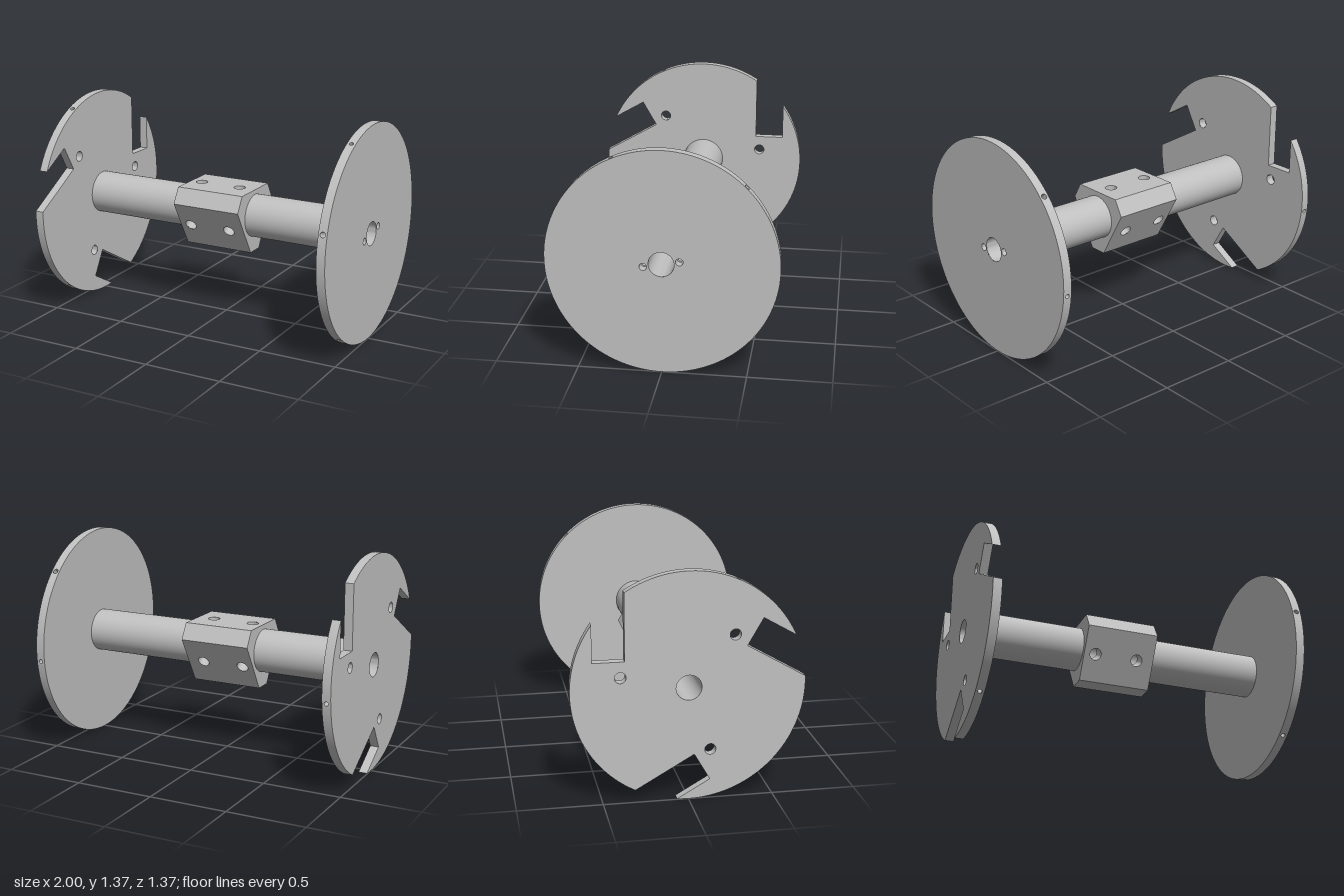
import * as THREE from 'three';
import { toCreasedNormals } from 'three/addons/utils/BufferGeometryUtils.js';

const R = 0.683, THICK = 0.055, BORE = 0.075, SHAFT = 0.137;
const CHORD = 1.7; // half angle in degrees of the flat around each rim hole
const rad = THREE.MathUtils.degToRad;
const steel = new THREE.MeshStandardMaterial({ color: 0xc0c0c0 });
steel.name = 'steel grey';

const polar = (r, deg) => new THREE.Vector2(r * Math.cos(rad(deg)), r * Math.sin(rad(deg)));

function add(parent, name, geometry) {
  const mesh = new THREE.Mesh(geometry, steel);
  mesh.name = name;
  parent.add(mesh);
  return mesh;
}

// Flat face with round holes, given as [x, y, radius]
function face(points, holes) {
  const shape = new THREE.Shape(points);
  for (const [x, y, r] of holes) {
    shape.holes.push(new THREE.Path().absarc(x, y, r, 0, Math.PI * 2, true));
  }
  return new THREE.ShapeGeometry(shape, 48);
}

// The two end faces of a prism that runs along z
function endFaces(parent, name, points, holes, z0, z1) {
  add(parent, name, face(points, holes).translate(0, 0, z1));
  const back = face(points, holes).translate(0, 0, z0);
  back.setIndex(Array.from(back.index.array).reverse());
  back.computeVertexNormals();
  add(parent, name, back);
}

// Side walls of a prism; segments listed in skip are left open
function walls(points, z0, z1, skip) {
  const pos = [];
  points.forEach((p, i) => {
    if (skip.has(i)) return;
    const q = points[(i + 1) % points.length];
    pos.push(p.x, p.y, z0, q.x, q.y, z0, q.x, q.y, z1);
    pos.push(p.x, p.y, z0, q.x, q.y, z1, p.x, p.y, z1);
  });
  const g = new THREE.BufferGeometry();
  g.setAttribute('position', new THREE.Float32BufferAttribute(pos, 3));
  return toCreasedNormals(g, 0.4);
}

function lathe(profile, segments = 48) {
  const g = new THREE.LatheGeometry(profile.map(([r, y]) => new THREE.Vector2(r, y)), segments);
  return toCreasedNormals(g, 0.5);
}

// Inner wall of a hole, profile of [radius, height] running downwards from the mouth
function drill(parent, name, profile, position, direction) {
  const mesh = add(parent, name, lathe(profile, 32));
  mesh.position.copy(position);
  mesh.quaternion.setFromUnitVectors(new THREE.Vector3(0, 1, 0), direction);
}

// Rectangular face looking outwards from the axis, with drilled holes [offset, radius]
function radialPanel(parent, name, deg, dist, z, length, width, holes, depth, floor) {
  const l = length / 2, w = width / 2;
  const rect = [[-l, -w], [l, -w], [l, w], [-l, w]].map(p => new THREE.Vector2(...p));
  const mesh = add(parent, name, face(rect, holes.map(([o, r]) => [o, 0, r])));
  const out = new THREE.Vector3(Math.cos(rad(deg)), Math.sin(rad(deg)), 0);
  const along = new THREE.Vector3(0, 0, 1);
  const m = new THREE.Matrix4().makeBasis(along, out.clone().cross(along), out);
  mesh.applyMatrix4(m.setPosition(out.x * dist, out.y * dist, z));
  for (const [o, r] of holes) {
    const profile = [[r, 0], [r, -depth]];
    if (floor) profile.push([0, -depth]);
    drill(parent, name + 'Hole', profile, out.clone().multiplyScalar(dist).setZ(z + o), out);
  }
}

// Round end plate with rim holes, optionally cut by three offset slots
function endPlate(name, z0, slotted, faceHoles) {
  const group = new THREE.Group();
  group.name = name;
  const pts = [], skip = new Set(), z1 = z0 + THICK;
  const arc = (a, b) => {
    const n = Math.ceil((b - a) / 2);
    for (let i = 0; i <= n; i++) pts.push(polar(R, a + (b - a) * i / n));
  };
  const rimHole = (deg, r) => {
    skip.add(pts.length - 1);
    radialPanel(group, 'rimFlat', deg, R * Math.cos(rad(CHORD)), (z0 + z1) / 2,
      THICK, 2 * R * Math.sin(rad(CHORD)), [[0, r]], 0.08, true);
  };
  const slotStart = THREE.MathUtils.radToDeg(Math.acos(0.555 / R));
  const slotEnd = THREE.MathUtils.radToDeg(Math.acos(0.37 / R));
  for (let k = 0; k < 3; k++) {
    const base = k * 120;
    if (slotted) {
      arc(base - 5.2 + CHORD, base + slotStart);
      for (const x of [0.555, 0.37]) {
        pts.push(new THREE.Vector2(x, 0.175).rotateAround(new THREE.Vector2(), rad(base)));
      }
      arc(base + slotEnd, base + 114.8 - CHORD);
    } else {
      arc(base - 5.2 + CHORD, base + 45 - CHORD);
      rimHole(base + 45, 0.016);
      arc(base + 45 + CHORD, base + 114.8 - CHORD);
    }
    rimHole(base + 114.8, 0.013);
  }
  add(group, 'plateRim', walls(pts, z0, z1, skip));
  endFaces(group, 'plateFace', pts, [[0, 0, BORE], ...faceHoles], z0, z1);
  return group;
}

export function createModel() {
  const model = new THREE.Group();
  model.name = 'spool';
  // Everything is built along z, then turned so the axis lies along x
  const axle = new THREE.Group();
  axle.name = 'axleAssembly';
  axle.rotation.y = Math.PI / 2;
  axle.position.y = R;
  model.add(axle);
  const zAxis = new THREE.Vector3(0, 0, 1);

  // Slotted plate with three bolt holes
  const bolts = [11.5, 131.5, 251.5].map(a => polar(0.403, a));
  const slotted = endPlate('slottedPlate', -1, true, bolts.map(p => [p.x, p.y, 0.033]));
  for (const p of bolts) {
    drill(slotted, 'boltHole', [[0.033, 0], [0.033, -THICK]],
      new THREE.Vector3(p.x, p.y, -1 + THICK), zAxis);
  }
  axle.add(slotted);

  // Plain plate with two stepped screw holes beside the bore
  const screws = [10.8, 190.8].map(a => polar(0.107, a));
  const plain = endPlate('plainPlate', 1 - THICK, false, screws.map(p => [p.x, p.y, 0.022]));
  for (const p of screws) {
    drill(plain, 'screwHole',
      [[0.022, 0], [0.022, -THICK], [0.014, -THICK], [0.014, -0.13], [0, -0.13]],
      new THREE.Vector3(p.x, p.y, 1), zAxis);
  }
  axle.add(plain);

  // Hollow shaft, its outside interrupted by the block
  const b0 = -0.255, b1 = 0.205, end = 1 - THICK;
  for (const [a, b] of [[-end, b0], [b1, end]]) {
    add(axle, 'shaft', lathe([[SHAFT, a], [SHAFT, b]], 64).rotateX(Math.PI / 2));
  }
  add(axle, 'bore', lathe([[BORE, 1], [BORE, -1]]).rotateX(Math.PI / 2));

  // Central block: a triangle with cut corners, two holes in each wide face
  const block = new THREE.Group();
  block.name = 'centreBlock';
  const dist = 0.167, half = 0.175, corners = [];
  for (const deg of [90, 210, 330]) {
    for (const s of [-half, half]) corners.push(polar(dist, deg).add(polar(s, deg + 90)));
    radialPanel(block, 'wideFace', deg, dist, (b0 + b1) / 2, b1 - b0, half * 2,
      [[-0.155, 0.037], [0.12, 0.037]], dist - BORE + 0.008, false);
  }
  add(block, 'cornerFaces', walls(corners, b0, b1, new Set([0, 2, 4])));
  endFaces(block, 'blockEnd', corners, [[0, 0, SHAFT - 0.002]], b0, b1);
  axle.add(block);
  return model;
}
